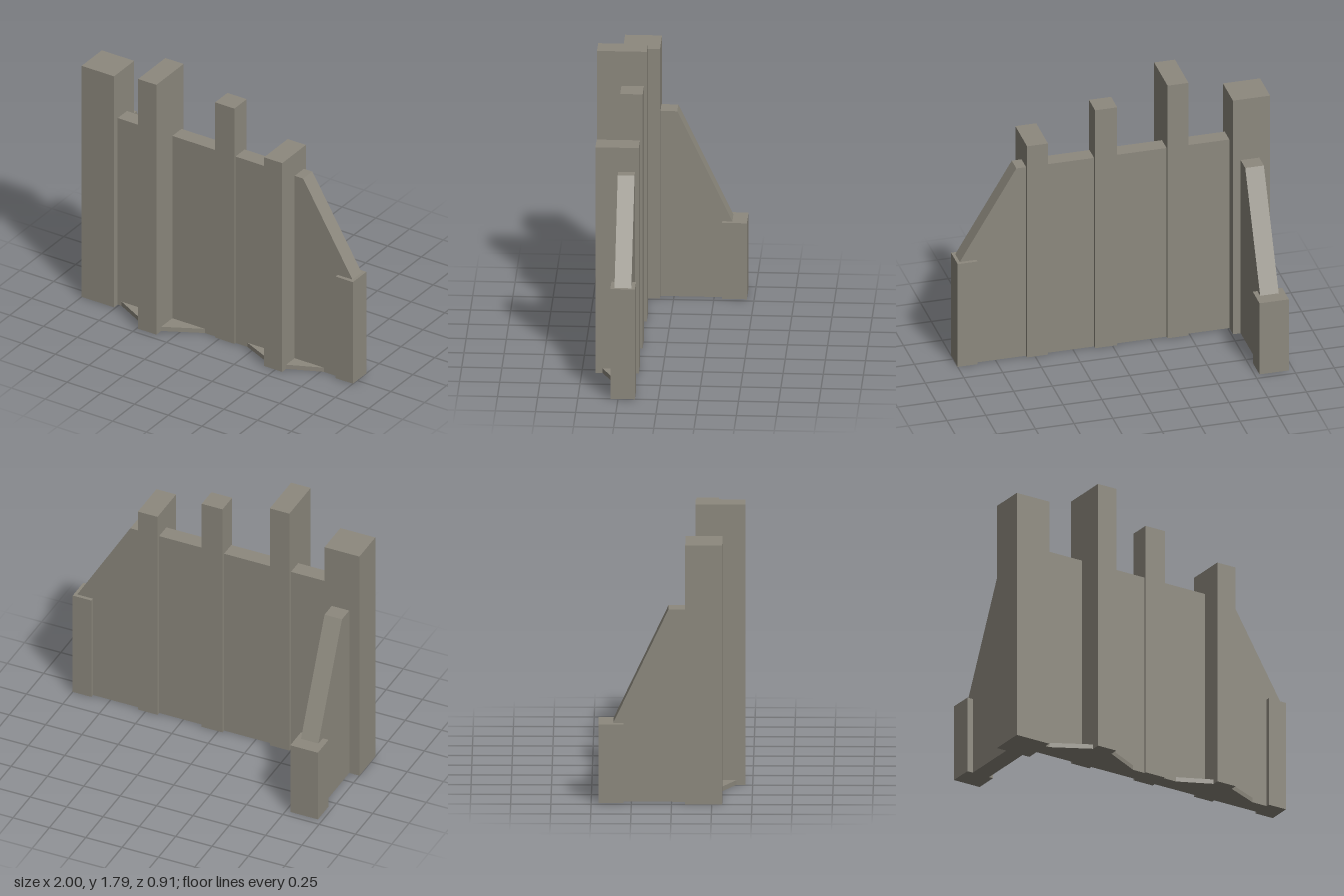
import * as THREE from 'three';

export function createModel() {
  const model = new THREE.Group();
  model.name = 'timberCornerWall';
  const stone = new THREE.MeshStandardMaterial({ color: 0x8d897e });
  stone.name = 'weathered grey';

  const add = (name, geometry) => {
    const mesh = new THREE.Mesh(geometry, stone);
    mesh.name = name;
    model.add(mesh);
    return mesh;
  };
  // Upright block given by its plan limits and height
  const post = (name, x0, x1, z0, z1, h) => {
    const g = new THREE.BoxGeometry(x1 - x0, h, z1 - z0);
    g.translate((x0 + x1) / 2, h / 2, (z0 + z1) / 2);
    return add(name, g);
  };
  // Outline extruded along its own +z
  const slab = (points, depth) => new THREE.ExtrudeGeometry(
    new THREE.Shape(points.map(([a, b]) => new THREE.Vector2(a, b))),
    { depth, bevelEnabled: false });

  // Posts
  post('cornerPost', -1, -0.76, 0.085, 0.315, 1.66);
  post('tallPost', -0.49, -0.355, 0.145, 0.455, 1.795);
  post('middlePost', -0.03, 0.113, 0.145, 0.285, 1.69);
  post('shortPost', 0.417, 0.552, 0.145, 0.415, 1.5);
  post('frontEndPost', 0.872, 1, 0.145, 0.298, 0.73);
  post('sideEndPost', -0.97, -0.78, -0.455, -0.3, 0.505);

  // Front wall with a sloping end
  const front = slab([[-0.88, 0], [0.98, 0], [0.98, 0.73], [0.615, 1.34], [-0.88, 1.34]], 0.105);
  front.translate(0, 0, 0.168);
  add('frontWall', front);

  // Side wall running back, with a sloping end
  const side = slab([[-0.2, 0], [0.37, 0], [0.37, 0.49], [0.02, 1.23], [-0.2, 1.23]], 0.12);
  side.rotateY(Math.PI / 2);
  side.translate(-0.93, 0, 0);
  add('sideWall', side);

  // Low triangular footings beneath the two deep posts
  for (const [x, half, z] of [[-0.4225, 0.315, 0.435], [0.485, 0.29, 0.4]]) {
    const foot = slab([[x - half, -0.27], [x, -z], [x + half, -0.27]], 0.03);
    foot.rotateX(-Math.PI / 2);
    add('footing', foot);
  }
  return model;
}
